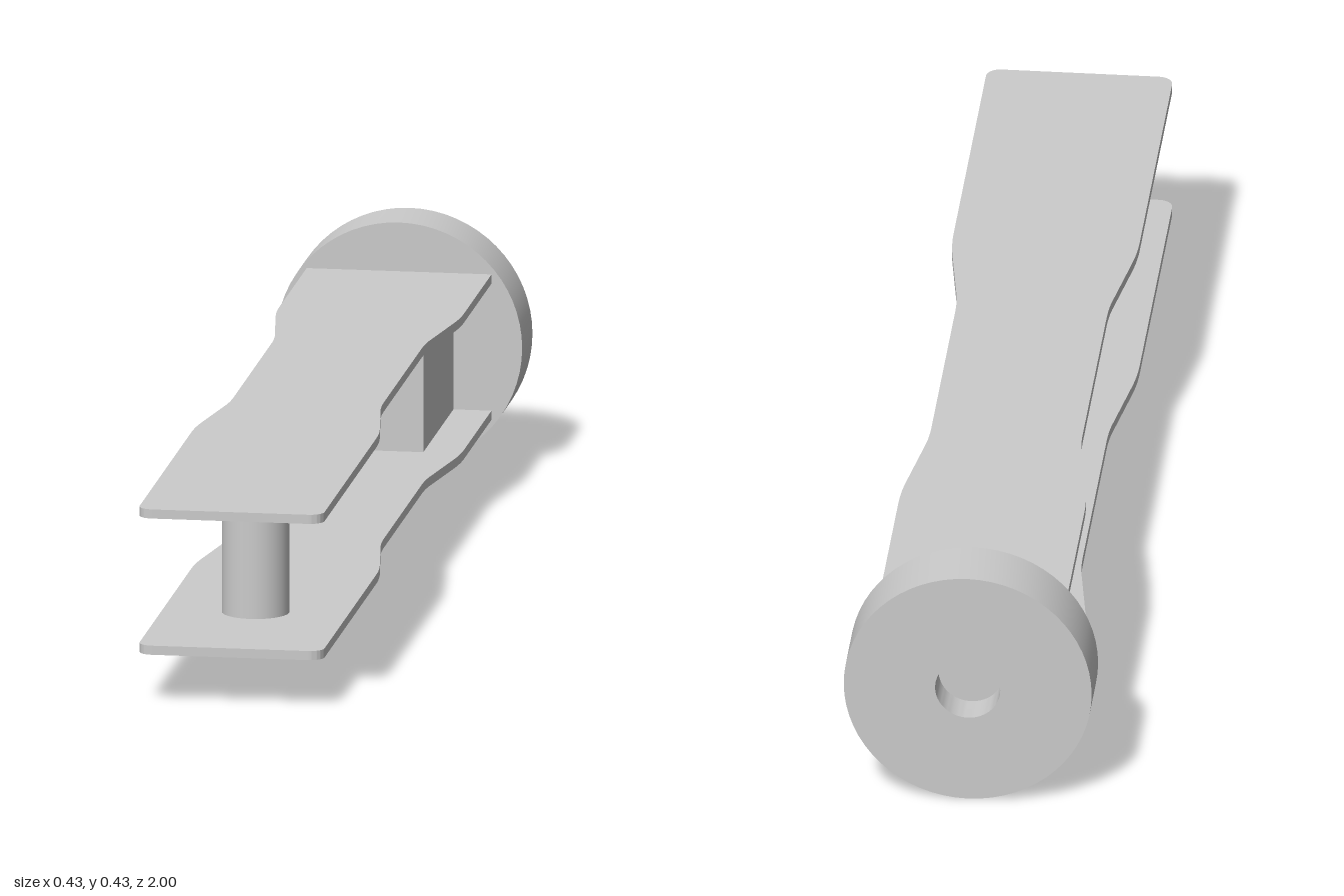
import * as THREE from 'three';
import { toCreasedNormals } from 'three/addons/utils/BufferGeometryUtils.js';

const R = 0.213;          // end disc radius, also height of the centre axis
const DISC_FRONT = -0.885;
const PLATE = 0.016;      // plate thickness
const GAP = 0.223;        // clear space between the plates
const material = new THREE.MeshStandardMaterial({ color: 0xcccccc });

function add(group, name, geometry, x, y, z) {
  const mesh = new THREE.Mesh(geometry, material);
  mesh.name = name;
  mesh.position.set(x, y, z);
  group.add(mesh);
}

// Waisted plate outline (x, z) with softened bends and rounded front corners
function plateGeometry() {
  const w = 0.16, n = 0.13, r = 0.025;
  const s = new THREE.Shape();
  s.moveTo(-w, DISC_FRONT);
  s.lineTo(w, DISC_FRONT);
  s.lineTo(w, -0.58);
  s.quadraticCurveTo(w, -0.54, 0.154, -0.5);
  s.lineTo(0.135, -0.37);
  s.quadraticCurveTo(n, -0.34, n, -0.3);
  s.lineTo(n, 0.12);
  s.quadraticCurveTo(n, 0.16, 0.135, 0.19);
  s.lineTo(0.154, 0.32);
  s.quadraticCurveTo(w, 0.36, w, 0.4);
  s.lineTo(w, 1 - r);
  s.absarc(w - r, 1 - r, r, 0, Math.PI / 2);
  s.lineTo(r - w, 1);
  s.absarc(r - w, 1 - r, r, Math.PI / 2, Math.PI);
  s.lineTo(-w, 0.4);
  s.quadraticCurveTo(-w, 0.36, -0.154, 0.32);
  s.lineTo(-0.135, 0.19);
  s.quadraticCurveTo(-n, 0.16, -n, 0.12);
  s.lineTo(-n, -0.3);
  s.quadraticCurveTo(-n, -0.34, -0.135, -0.37);
  s.lineTo(-0.154, -0.5);
  s.quadraticCurveTo(-w, -0.54, -w, -0.58);
  s.closePath();
  const g = new THREE.ExtrudeGeometry(s, { depth: PLATE, bevelEnabled: false, curveSegments: 8 });
  g.translate(0, 0, -PLATE / 2);
  g.rotateX(Math.PI / 2);
  return toCreasedNormals(g, 0.6);
}

export function createModel() {
  const model = new THREE.Group();
  model.name = 'handle';

  // End disc with a blind hole in its back face
  const profile = [
    [0, -0.94], [0.056, -0.94], [0.056, -1], [R, -1], [R, DISC_FRONT], [0, DISC_FRONT],
  ].map(([x, y]) => new THREE.Vector2(x, y));
  const disc = new THREE.LatheGeometry(profile, 64);
  disc.rotateX(Math.PI / 2);
  add(model, 'endDisc', toCreasedNormals(disc, 0.6), 0, R, 0);

  // Matching plates above and below the axis
  const plate = plateGeometry();
  const offset = (GAP + PLATE) / 2;
  add(model, 'upperPlate', plate, 0, R + offset, 0);
  add(model, 'lowerPlate', plate, 0, R - offset, 0);

  // Block against the disc and round post near the front
  const blockLength = 0.335;
  add(model, 'spacerBlock', new THREE.BoxGeometry(0.188, GAP, blockLength), 0, R, DISC_FRONT + blockLength / 2);
  add(model, 'spacerPost', new THREE.CylinderGeometry(0.058, 0.058, GAP, 40), 0, R, 0.712);

  return model;
}
